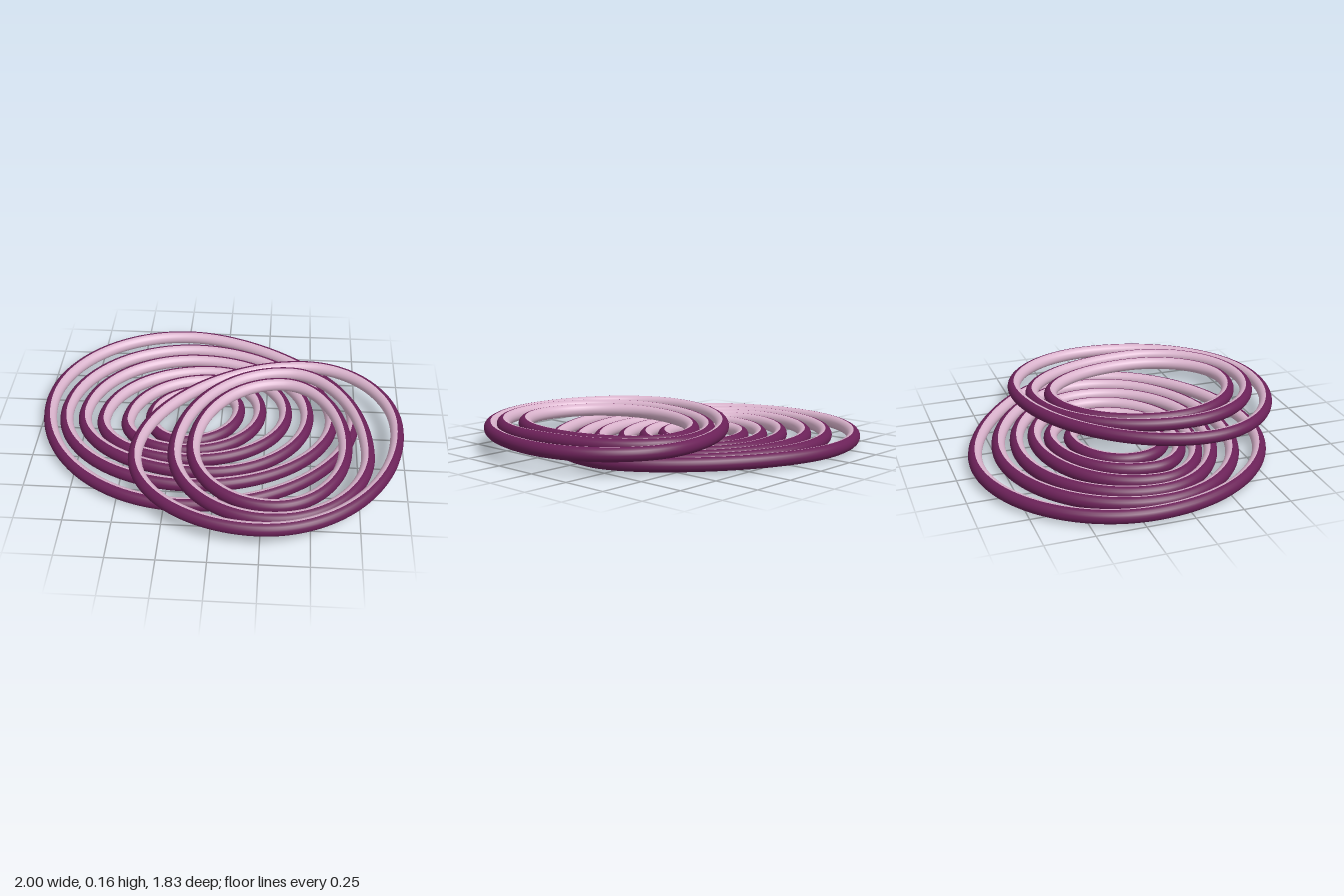
import * as THREE from 'three';

const plum = new THREE.MeshStandardMaterial({ color: 0x6b2158 });
plum.name = 'plum';
const palePink = new THREE.MeshStandardMaterial({ color: 0xd9b3cc });
palePink.name = 'palePink';

const TUBE = 0.036;
const STEPS = 144; // along each ring
const SIDES = 10; // around each half of the tube

// Closed egg-shaped outline through its left, back, right and front extremes.
// round holds the fullness of the four quarters.
function eggCurve([l, b, r, f], round = [0.55, 0.55, 0.55, 0.55]) {
  const v = (x, z) => new THREE.Vector3(x, 0, z);
  const pts = [l, b, r, f];
  const path = new THREE.CurvePath();
  for (let q = 0; q < 4; q++) {
    const [px, pz] = pts[q];
    const [ex, ez] = pts[(q + 1) % 4];
    const k = round[q];
    const dx = (ex - px) * k;
    const dz = (ez - pz) * k;
    const alongZ = q % 2 === 0; // left and right extremes run along z
    path.add(new THREE.CubicBezierCurve3(
      v(px, pz),
      alongZ ? v(px, pz + dz) : v(px + dx, pz),
      alongZ ? v(ex - dx, ez) : v(ex, ez - dz),
      v(ex, ez)
    ));
  }
  return path;
}

// Sweeps half of a round section (from angle start, over PI) along the outline
function halfTube(path, start) {
  const pos = [];
  const nor = [];
  const index = [];
  for (let i = 0; i <= STEPS; i++) {
    const u = (i % STEPS) / STEPS;
    const p = path.getPointAt(u);
    const t = path.getTangentAt(u);
    for (let j = 0; j <= SIDES; j++) {
      const a = start + (Math.PI * j) / SIDES;
      const n = [Math.cos(a) * t.z, Math.sin(a), -Math.cos(a) * t.x];
      nor.push(...n);
      pos.push(p.x + TUBE * n[0], TUBE * n[1], p.z + TUBE * n[2]);
      if (i < STEPS && j < SIDES) {
        const c = i * (SIDES + 1) + j;
        const d = c + SIDES + 1;
        index.push(c, c + 1, d, c + 1, d + 1, d);
      }
    }
  }
  const geo = new THREE.BufferGeometry();
  geo.setAttribute('position', new THREE.Float32BufferAttribute(pos, 3));
  geo.setAttribute('normal', new THREE.Float32BufferAttribute(nor, 3));
  geo.setIndex(index);
  return geo;
}

// One ring: plum on its outer half, pale pink on its inner half
function makeRing(name, { y, ends, round }) {
  const ring = new THREE.Group();
  ring.name = name;
  const path = eggCurve(ends, round);
  const outer = new THREE.Mesh(halfTube(path, -Math.PI / 2), plum);
  outer.name = 'outerHalf';
  const inner = new THREE.Mesh(halfTube(path, Math.PI / 2), palePink);
  inner.name = 'innerHalf';
  ring.add(outer, inner);
  ring.position.y = y;
  return ring;
}

// Extremes as [x, z]: left, back, right, front
const lowerRings = [
  { y: 0.047, ends: [[-0.965, -0.18], [-0.24, -0.885], [0.735, -0.13], [-0.16, 0.645]], round: [0.55, 0.43, 0.55, 0.55] },
  { y: 0.045, ends: [[-0.865, -0.1], [-0.18, -0.745], [0.615, -0.1], [-0.14, 0.49]], round: [0.55, 0.5, 0.55, 0.55] },
  { y: 0.043, ends: [[-0.76, -0.08], [-0.16, -0.64], [0.48, -0.12], [-0.08, 0.385]] },
  { y: 0.041, ends: [[-0.65, -0.04], [-0.08, -0.53], [0.36, -0.14], [-0.17, 0.285]] },
  { y: 0.039, ends: [[-0.515, -0.03], [-0.07, -0.445], [0.215, -0.15], [-0.18, 0.205]] },
  { y: 0.037, ends: [[-0.385, -0.08], [-0.08, -0.34], [0.095, -0.16], [-0.19, 0.125]] },
];
const upperRings = [
  { y: 0.118, ends: [[-0.425, 0.33], [0.47, -0.505], [0.96, 0.05], [0.24, 0.875]], round: [0.5, 0.55, 0.55, 0.55] },
  { y: 0.122, ends: [[-0.22, 0.29], [0.37, -0.43], [0.795, 0.28], [0.29, 0.805]] },
  { y: 0.116, ends: [[-0.125, 0.25], [0.34, -0.33], [0.68, 0.22], [0.3, 0.705]] },
];

export function createModel() {
  const model = new THREE.Group();
  model.name = 'nestedRings';
  for (const [label, rings] of [['lowerRing', lowerRings], ['upperRing', upperRings]]) {
    const layer = new THREE.Group();
    layer.name = label + 's';
    rings.forEach((spec, i) => layer.add(makeRing(label + (i + 1), spec)));
    model.add(layer);
  }
  return model;
}
